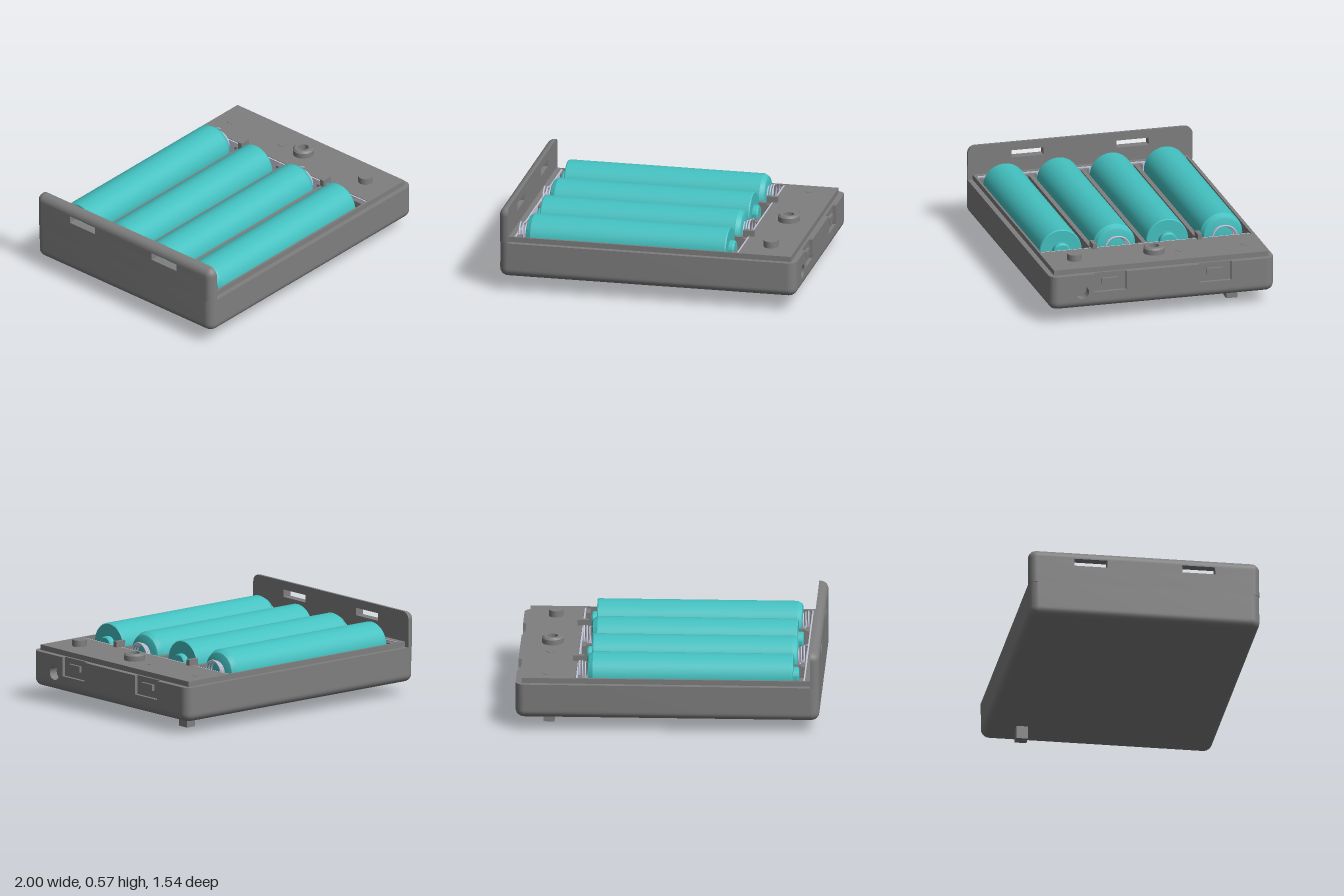
import * as THREE from 'three';
import { toCreasedNormals } from 'three/addons/utils/BufferGeometryUtils.js';

const mat = (name, color) => {
  const m = new THREE.MeshStandardMaterial({ color });
  m.name = name;
  return m;
};

export function createModel() {
  const grey = mat('case grey', 0x7f7f7f);
  const teal = mat('cell teal', 0x44c0c0);
  const metal = mat('contact metal', 0xc6c8dc);
  const R = 0.05; // edge rounding of the case
  const BOTTOM = 0.093, FLOOR = 0.15, LEDGE = 0.327, LIP = 0.362, TOP = 0.564;

  const model = new THREE.Group();
  model.name = 'batteryHolder';
  const holder = new THREE.Group();
  holder.name = 'case';
  holder.rotation.x = -0.01; // the case sits at a very slight tilt
  model.add(holder);

  const add = (name, geo, material = grey, parent = holder) => {
    const m = new THREE.Mesh(geo, material);
    m.name = name;
    parent.add(m);
    return m;
  };
  const box = (name, x0, x1, y0, y1, z0, z1, material = grey) =>
    add(name, new THREE.BoxGeometry(x1 - x0, y1 - y0, z1 - z0)
      .translate((x0 + x1) / 2, (y0 + y1) / 2, (z0 + z1) / 2), material);

  // Rectangle with a radius for each corner: bottom left, bottom right, top right, top left
  const rect = (x0, x1, y0, y1, [a, b, c, d] = [0, 0, 0, 0]) => {
    const s = new THREE.Shape(), P = Math.PI;
    const corner = (x, y, r, start) =>
      r ? s.absarc(x, y, r, start, start + P / 2, false) : s.lineTo(x, y);
    s.moveTo(x0, y0 + a);
    corner(x0 + a, y0 + a, a, P);
    corner(x1 - b, y0 + b, b, 1.5 * P);
    corner(x1 - c, y1 - c, c, 0);
    corner(x0 + d, y1 - d, d, P / 2);
    s.closePath();
    return s;
  };
  const extrude = (shape, depth) => toCreasedNormals(new THREE.ExtrudeGeometry(shape,
    { depth, bevelEnabled: false, curveSegments: 8 }), 0.5);
  // Upright prism from a plan shape (shape y = -z)
  const plan = (name, shape, y0, y1) =>
    add(name, extrude(shape, y1 - y0).rotateX(-Math.PI / 2).translate(0, y0, 0));
  // Slab rounded on one face only; the other bevel is flattened
  const domed = (shape, thickness, minY = -9) => {
    const depth = thickness - R;
    const g = new THREE.ExtrudeGeometry(shape, { depth, bevelThickness: R, bevelSize: R,
      bevelSegments: 6, curveSegments: 8 });
    const p = g.attributes.position;
    for (let i = 0; i < p.count; i++) {
      p.setZ(i, Math.min(p.getZ(i), depth) + R);
      p.setY(i, Math.max(p.getY(i), minY));
    }
    return toCreasedNormals(g, 0.5);
  };

  // Rounded base
  const q = 0.01;
  add('base', domed(rect(-1 + R, 1 - R, -0.77 + R, 0.77 - R, [q, q, q, q]), FLOOR - BOTTOM)
    .rotateX(-Math.PI / 2).translate(0, BOTTOM, 0));

  // Side walls around the tray, set back at the socket end
  const tray = () => rect(-0.905, 0.605, -0.72, 0.72);
  const c = R + q, e = 0.7;
  const walls = new THREE.Shape();
  walls.moveTo(-1, -0.77 + c);
  walls.absarc(-1 + c, -0.77 + c, c, Math.PI, 1.5 * Math.PI, false);
  walls.absarc(1 - c, -0.77 + c, c, 1.5 * Math.PI, 2 * Math.PI, false);
  [[1, -e], [0.94, -e], [0.94, e], [1, e]].forEach(([x, y]) => walls.lineTo(x, y));
  walls.absarc(1 - c, 0.77 - c, c, 0, Math.PI / 2, false);
  walls.absarc(-1 + c, 0.77 - c, c, Math.PI / 2, Math.PI, false);
  walls.closePath();
  walls.holes.push(tray());
  plan('sideWalls', walls, FLOOR, LEDGE);

  // Raised lip with the flat cover plate
  const lip = rect(-0.95, 0.96, -0.735, 0.735);
  lip.holes.push(tray());
  plan('lipAndCover', lip, LEDGE, LIP);

  // Socket end: two layers with a round hole, the outer one with latch notches
  const endPlate = (name, x0, x1, notched) => {
    const s = new THREE.Shape();
    s.moveTo(-e, FLOOR);
    s.lineTo(e, FLOOR);
    s.lineTo(e, LEDGE);
    if (notched) for (const z of [0.36, -0.36]) {
      s.lineTo(z + 0.11, LEDGE);
      s.lineTo(z + 0.11, 0.2);
      s.lineTo(z - 0.11, 0.2);
      s.lineTo(z - 0.11, LEDGE);
    }
    s.lineTo(-e, LEDGE);
    s.closePath();
    s.holes.push(new THREE.Path().absarc(-0.55, 0.205, 0.045, 0, Math.PI * 2, true));
    add(name, extrude(s, x1 - x0).rotateY(Math.PI / 2).translate(x0, 0, 0));
  };
  endPlate('endPlateInner', 0.94, 0.977, false);
  endPlate('endPlateOuter', 0.977, 1, true);
  for (const z of [-0.36, 0.36]) box('latchTab', 0.97, 0.995, 0.25, 0.29, z - 0.055, z + 0.055);

  // Tall end wall with two slots
  plan('endWallLower', rect(-1, -0.94, -0.77, 0.77, [R, 0, 0, R]), LEDGE, 0.457);
  plan('endWallPost', rect(-1, -0.94, -0.77, -0.47, [R, 0, 0, 0]), 0.457, 0.507);
  plan('endWallPost', rect(-1, -0.94, 0.47, 0.77, [0, 0, 0, R]), 0.457, 0.507);
  box('endWallPost', -1, -0.94, 0.457, 0.507, -0.25, 0.25);
  add('endWallTop', domed(rect(-0.77 + R, 0.77 - R, 0.507, TOP - R, [0, 0, 0.003, 0.003]), 0.06, 0.507)
    .rotateY(Math.PI / 2).translate(-1, 0, 0));

  // Tray partitions, contact brackets and metal contact strips
  for (const z of [-0.365, 0, 0.36]) box('partition', -0.87, 0.56, FLOOR, 0.352, z - 0.015, z + 0.015);
  for (const z of [-0.36, 0.36]) box('partitionTab', 0.56, 0.635, 0.34, 0.4, z - 0.015, z + 0.015);
  for (const x of [-0.88, 0.577]) for (const z of [-0.675, -0.365, 0, 0.36, 0.675])
    box('contactBracket', x - 0.015, x + 0.015, FLOOR, 0.352, z - 0.045, z + 0.045);
  for (const x of [-0.9, 0.598])
    box('contactStrip', x - 0.005, x + 0.005, FLOOR, 0.36, -0.715, 0.715, metal);

  // Screw boss, button and moulding marks on the cover
  const boss = [[0.035, 0.355], [0.035, 0.408], [0.058, 0.408], [0.07, 0.396], [0.07, 0.355]]
    .reverse().map(([r, y]) => new THREE.Vector2(r, y));
  add('screwBoss', toCreasedNormals(new THREE.LatheGeometry(boss, 28), 0.5)).position.set(0.785, 0, 0);
  const disc = (name, z, r, top) =>
    add(name, new THREE.CylinderGeometry(r, r, top - 0.35, 24)).position.set(0.785, (top + 0.35) / 2, z);
  disc('button', 0.545, 0.048, 0.405);
  disc('mouldMark', -0.63, 0.034, 0.364);
  disc('mouldMark', -0.18, 0.034, 0.364);

  // Switch slider under the base
  box('switchSlider', 0.75, 0.822, 0.005, 0.12, -0.567, -0.49);

  // Four cells in alternating directions, each with a spring at its flat end
  const profile = [[0, -0.685], [0.115, -0.685], [0.128, -0.68], [0.145, -0.65], [0.145, 0.66],
    [0.14, 0.668], [0.06, 0.668], [0.06, 0.695], [0.052, 0.705], [0, 0.705]]
    .map(([r, y]) => new THREE.Vector2(r, y));
  const cellGeo = toCreasedNormals(new THREE.LatheGeometry(profile, 48), 0.5).rotateZ(-Math.PI / 2);
  const coil = [];
  for (let i = 0; i <= 72; i++) {
    const a = (i / 72) * Math.PI * 6;
    const r = 0.085 - 0.02 * (i / 72);
    coil.push(new THREE.Vector3(-0.74 + 0.055 * (i / 72), r * Math.cos(a), r * Math.sin(a)));
  }
  const springGeo = new THREE.TubeGeometry(new THREE.CatmullRomCurve3(coil), 144, 0.006, 6);
  [-0.55, -0.175, 0.185, 0.555].forEach((z, i) => {
    const cell = new THREE.Group();
    cell.name = 'cell' + (i + 1);
    add('cellBody', cellGeo, teal, cell);
    add('spring', springGeo, metal, cell);
    cell.position.set(-0.155, 0.332, z);
    if (i % 2 === 0) cell.rotation.y = Math.PI;
    model.add(cell);
  });
  return model;
}
